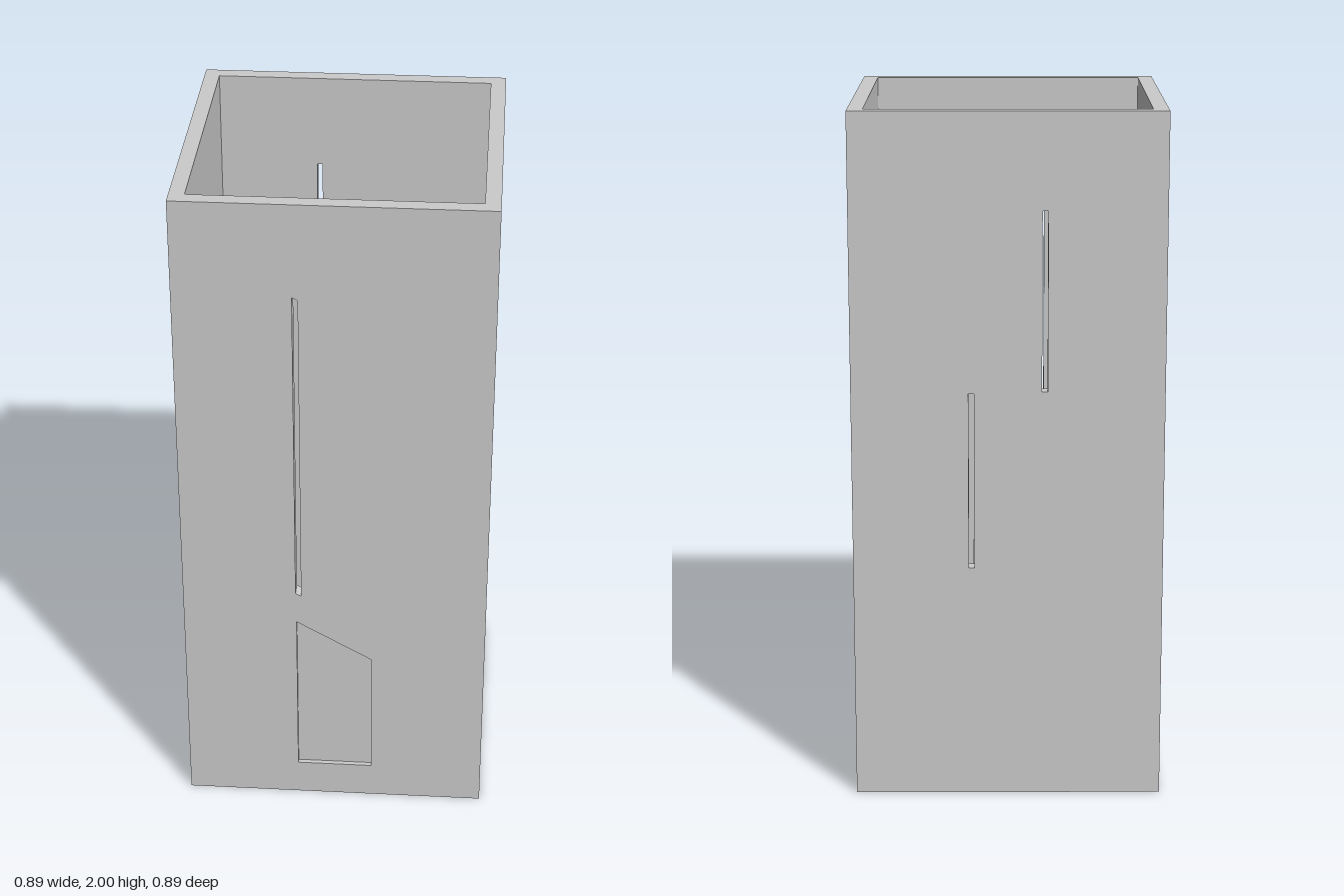
import * as THREE from 'three';

const HALF = 0.444, WALL = 0.044, HEIGHT = 2;
const material = new THREE.MeshStandardMaterial({ color: 0xcccccc, flatShading: true });

const points = (list) => list.map(([x, y]) => new THREE.Vector2(x, y));

// Upright slot outline; slant is the drop from the left to the right end
const slot = (x0, x1, y0, y1, slant = 0) =>
  points([[x0, y0], [x1, y0 - slant], [x1, y1 - slant], [x0, y1]]);

const doorOutline = points([[-0.111, 0.111], [0.111, 0.111], [0.111, 0.513], [-0.111, 0.641]]);

function extruded(name, outline, holes, depth, z) {
  const shape = new THREE.Shape(outline);
  holes.forEach((h) => shape.holes.push(new THREE.Path(h)));
  const geometry = new THREE.ExtrudeGeometry(shape, { depth, bevelEnabled: false });
  const mesh = new THREE.Mesh(geometry, material);
  mesh.name = name;
  mesh.position.z = z;
  return mesh;
}

export function createModel() {
  const tower = new THREE.Group();
  tower.name = 'tower';
  const wallOutline = slot(-HALF, HALF, 0, HEIGHT);

  // Front wall with the sloping doorway and one tall slit
  tower.add(extruded('frontWall', wallOutline,
    [doorOutline, slot(-0.113, -0.097, 0.743, 1.722, 0.009)], WALL, HALF - WALL));

  // Back wall with two staggered slits
  tower.add(extruded('backWall', wallOutline,
    [slot(-0.112, -0.096, 1.21, 1.724), slot(0.096, 0.112, 0.69, 1.205)], WALL, -HALF));

  // Plain side walls between front and back
  for (const [name, side] of [['leftWall', 1], ['rightWall', -1]]) {
    const wall = new THREE.Mesh(new THREE.BoxGeometry(WALL, HEIGHT, 2 * (HALF - WALL)), material);
    wall.name = name;
    wall.position.set(side * (HALF - WALL / 2), HEIGHT / 2, 0);
    tower.add(wall);
  }

  // Door leaf, thinner than the wall and set in the middle of it
  const leaf = 0.016;
  tower.add(extruded('door', doorOutline, [], leaf, HALF - WALL / 2 - leaf / 2));

  return tower;
}
